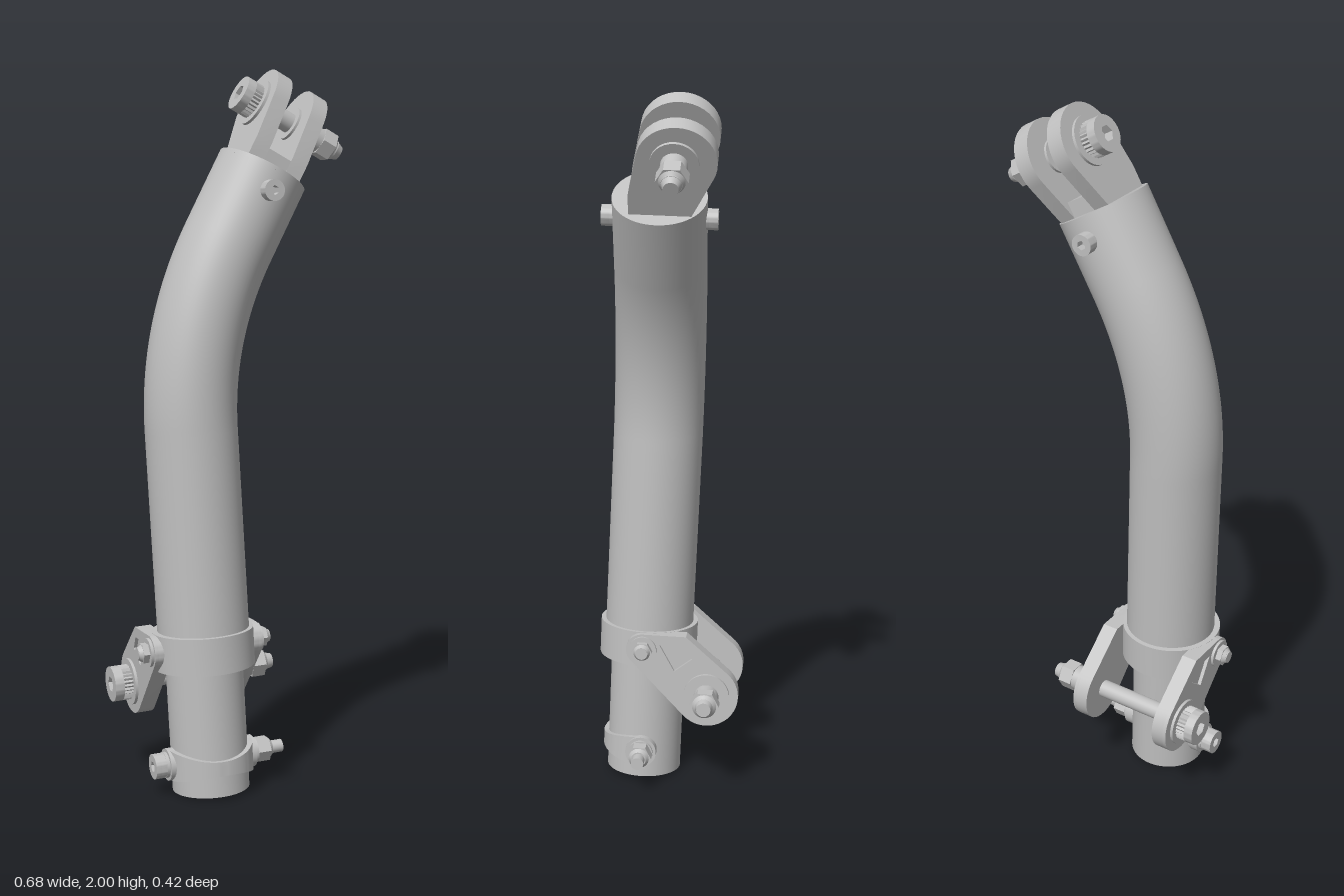
import * as THREE from 'three';
import { toCreasedNormals } from 'three/addons/utils/BufferGeometryUtils.js';

const V = (x, y, z) => new THREE.Vector3(x, y, z);
const steel = new THREE.MeshStandardMaterial({ color: 0xc0c0c0 });
steel.name = 'light grey steel';

function add(parent, name, geometry) {
  const mesh = new THREE.Mesh(geometry, steel);
  mesh.name = name;
  parent.add(mesh);
  return mesh;
}

// Group whose y axis follows "up" and whose x axis stays in the front plane
function frame(name, origin, up) {
  const g = new THREE.Group();
  const y = up.clone().normalize();
  const x = y.clone().cross(V(0, 0, 1)).normalize();
  g.quaternion.setFromRotationMatrix(new THREE.Matrix4().makeBasis(x, y, x.clone().cross(y)));
  g.position.copy(origin);
  g.name = name;
  return g;
}

// Cylinder along x
function rod(r, x0, x1, sides = 32, r2 = r) {
  const g = new THREE.CylinderGeometry(r2, r, x1 - x0, sides).rotateZ(-Math.PI / 2).translate((x0 + x1) / 2, 0, 0);
  return sides < 8 ? toCreasedNormals(g, 0.5) : g;
}

// Outline extruded along x
function plate(shape, x0, x1) {
  const g = new THREE.ExtrudeGeometry(shape, { depth: x1 - x0, bevelEnabled: false, curveSegments: 24 });
  return toCreasedNormals(g.rotateY(Math.PI / 2).translate(x0, 0, 0), 0.5);
}

function circle(z, y, r, n = 40) {
  return Array.from({ length: n }, (_, i) => [z + r * Math.cos((i * 2 * Math.PI) / n), y + r * Math.sin((i * 2 * Math.PI) / n)]);
}

// Convex outline around [z, y] points
function hull(points) {
  const p = points.map(([z, y]) => new THREE.Vector2(-z, y)).sort((a, b) => a.x - b.x || a.y - b.y);
  const half = (list) => {
    const h = [];
    for (const q of list) {
      while (h.length > 1 && h.at(-1).clone().sub(h.at(-2)).cross(q.clone().sub(h.at(-2))) <= 1e-9) h.pop();
      h.push(q);
    }
    return h.slice(0, -1);
  };
  return new THREE.Shape([...half(p), ...half([...p].reverse())]);
}

function ring(inner, outer, y0, y1) {
  const pts = [[inner, y0], [outer, y0], [outer, y1], [inner, y1], [inner, y0]];
  return toCreasedNormals(new THREE.LatheGeometry(pts.map((p) => new THREE.Vector2(...p)), 56), 0.6);
}

// Round head with a hexagonal socket opening towards -x, optionally knurled near its base
function socketHead(parent, r, x0, x1, knurled) {
  const outline = (teeth) => {
    const n = teeth ? 56 : 48;
    const s = new THREE.Shape(Array.from({ length: n }, (_, i) => {
      const a = (i * 2 * Math.PI) / n, q = teeth && i % 2 ? r * 0.91 : r;
      return new THREE.Vector2(q * Math.cos(a), q * Math.sin(a));
    }));
    s.holes.push(new THREE.Path(circle(0, 0, r * 0.45, 6).map((p) => new THREE.Vector2(...p)).reverse()));
    return s;
  };
  const mid = (x0 + x1) / 2;
  add(parent, 'boltHead', plate(outline(false), x0, mid));
  add(parent, 'boltHeadBase', plate(outline(knurled), mid, x1));
  add(parent, 'socketFloor', rod(r * 0.6, mid, x1));
}

function hexNut(parent, r, x0, x1) {
  add(parent, 'nut', rod(r, x0, x1, 6));
  add(parent, 'nutCollar', rod(r * 0.82, x1, x1 + 0.01, 32, r * 0.6));
}

function at(parent, name, y, z) {
  const g = new THREE.Group();
  g.name = name;
  g.position.set(0, y, z);
  parent.add(g);
  return g;
}

export function createModel() {
  const model = new THREE.Group();
  model.name = 'bentStrut';
  const lowUp = V(-0.042, 1, -0.038), topUp = V(0.477, 0.88, -0.035);
  const base = V(-0.107, 0.007, 0.083), top = V(0.072, 1.72, 0.016);

  // Bent main tube
  const path = new THREE.CurvePath();
  const start = base.clone().addScaledVector(lowUp, 0.37).add(V(0.003, 0, 0));
  const bendIn = V(-0.148, 1.02, 0.042), bendOut = V(-0.026, 1.536, 0.023);
  path.add(new THREE.LineCurve3(start, bendIn));
  path.add(new THREE.QuadraticBezierCurve3(bendIn, V(-0.159, 1.29, 0.032), bendOut));
  path.add(new THREE.LineCurve3(bendOut, top));
  add(model, 'mainTube', new THREE.TubeGeometry(path, 90, 0.128, 56, false));

  // Lower end: hollow inner tube, pivot clamp and strap
  const low = frame('lowerEnd', base, lowUp);
  model.add(low);
  add(low, 'innerTube', ring(0.092, 0.108, 0, 0.44));
  add(low, 'clampRing', ring(0.105, 0.142, 0.352, 0.455));

  // Lugs with a shallow pocket on the outer face
  const eyeY = 0.283, eyeZ = -0.186;
  const lugOutline = [...circle(0.005, 0.408, 0.046), [-0.12, 0.455], ...circle(eyeZ, eyeY, 0.091)];
  const lug = hull(lugOutline), lugRim = hull(lugOutline);
  lugRim.holes.push(new THREE.Path(hull([[-0.045, 0.425], [-0.12, 0.425], [-0.14, 0.39], [-0.09, 0.35]]).getPoints().reverse()));
  for (const s of [-1, 1]) {
    const inner = 0.112, core = 0.148, outer = 0.158;
    add(low, 'clampLug', plate(lug, s < 0 ? -core : inner, s < 0 ? -inner : core));
    add(low, 'clampLugRim', plate(lugRim, s < 0 ? -outer : core, s < 0 ? -core : outer));
  }

  const pivot = at(low, 'pivotBolt', eyeY, eyeZ);
  add(pivot, 'shaft', rod(0.025, -0.17, 0.255));
  add(pivot, 'headWasher', rod(0.066, -0.166, -0.158));
  add(pivot, 'nutWasher', rod(0.066, 0.158, 0.168));
  add(pivot, 'spacer', rod(0.036, 0.168, 0.21));
  socketHead(pivot, 0.05, -0.219, -0.166, true);
  hexNut(pivot, 0.042, 0.205, 0.245);
  add(pivot, 'shaftTip', rod(0.025, 0.255, 0.274, 32, 0.02));

  const clampBolt = at(low, 'clampBolt', 0.408, 0.003);
  add(clampBolt, 'shaft', rod(0.017, -0.195, 0.195));
  for (const s of [-1, 1]) {
    const side = at(clampBolt, 'boltEnd', 0, 0);
    if (s < 0) side.rotation.y = Math.PI;
    add(side, 'washer', rod(0.04, 0.158, 0.166));
    hexNut(side, 0.029, 0.166, 0.183);
  }

  // Strap round the front, widening towards the bolt
  const strap = new THREE.BoxGeometry(1, 1, 1, 40, 1, 1);
  const pos = strap.attributes.position;
  for (let i = 0; i < pos.count; i++) {
    const a = pos.getX(i) * Math.PI, r = pos.getZ(i) > 0 ? 0.122 : 0.104;
    const h = 0.04 + 0.045 * Math.abs(Math.sin(a)) ** 2;
    pos.setXYZ(i, r * Math.sin(a), 0.083 + pos.getY(i) * h, r * Math.cos(a));
  }
  add(low, 'strap', toCreasedNormals(strap, 0.6));
  const strapBolt = at(low, 'strapBolt', 0.083, 0);
  for (const s of [-1, 1]) {
    add(strapBolt, 'strapLug', rod(0.045, s < 0 ? -0.128 : 0.098, s < 0 ? -0.098 : 0.128));
    add(strapBolt, 'washer', rod(0.036, s < 0 ? -0.137 : 0.128, s < 0 ? -0.128 : 0.137));
    add(strapBolt, 'shaft', rod(0.018, s < 0 ? -0.14 : 0.1, s < 0 ? -0.1 : 0.218));
  }
  socketHead(strapBolt, 0.035, -0.168, -0.137, false);
  hexNut(strapBolt, 0.036, 0.137, 0.175);

  // Upper end: cap, fork and pin
  const up = frame('upperEnd', top, topUp);
  model.add(up);
  add(up, 'tubeCap', new THREE.CylinderGeometry(0.128, 0.128, 0.01, 56).translate(0, -0.004, 0));
  add(up, 'forkBase', new THREE.BoxGeometry(0.168, 0.045, 0.165).translate(0, 0.0225, -0.007));

  const pinY = 0.166, pinZ = -0.052;
  const forkPlate = hull([[0.076, 0], [-0.09, 0], [0.076, 0.06], ...circle(pinZ, pinY, 0.106)]);
  for (const x of [-0.06, 0.06]) add(up, 'forkPlate', plate(forkPlate, x - 0.024, x + 0.024));

  const pin = at(up, 'forkPin', pinY, pinZ + 0.005);
  add(pin, 'shaft', rod(0.028, -0.1, 0.182));
  add(pin, 'headWasher', rod(0.068, -0.092, -0.084));
  add(pin, 'nutWasher', rod(0.064, 0.084, 0.093));
  for (const s of [-1, 1]) add(pin, 'bush', rod(0.048, s < 0 ? -0.036 : 0.029, s < 0 ? -0.029 : 0.036));
  socketHead(pin, 0.05, -0.144, -0.092, true);
  add(pin, 'spacer', rod(0.036, 0.093, 0.13));
  hexNut(pin, 0.043, 0.128, 0.17);
  add(pin, 'shaftTip', rod(0.027, 0.182, 0.2, 32, 0.02));

  // Set screws on the front and back of the main tube
  for (const s of [1, -1]) {
    const screw = at(up, 'setScrew', -0.065, 0);
    screw.rotation.y = (s * Math.PI) / 2;
    socketHead(screw, 0.029, -0.157, -0.11, false);
  }
  return model;
}
